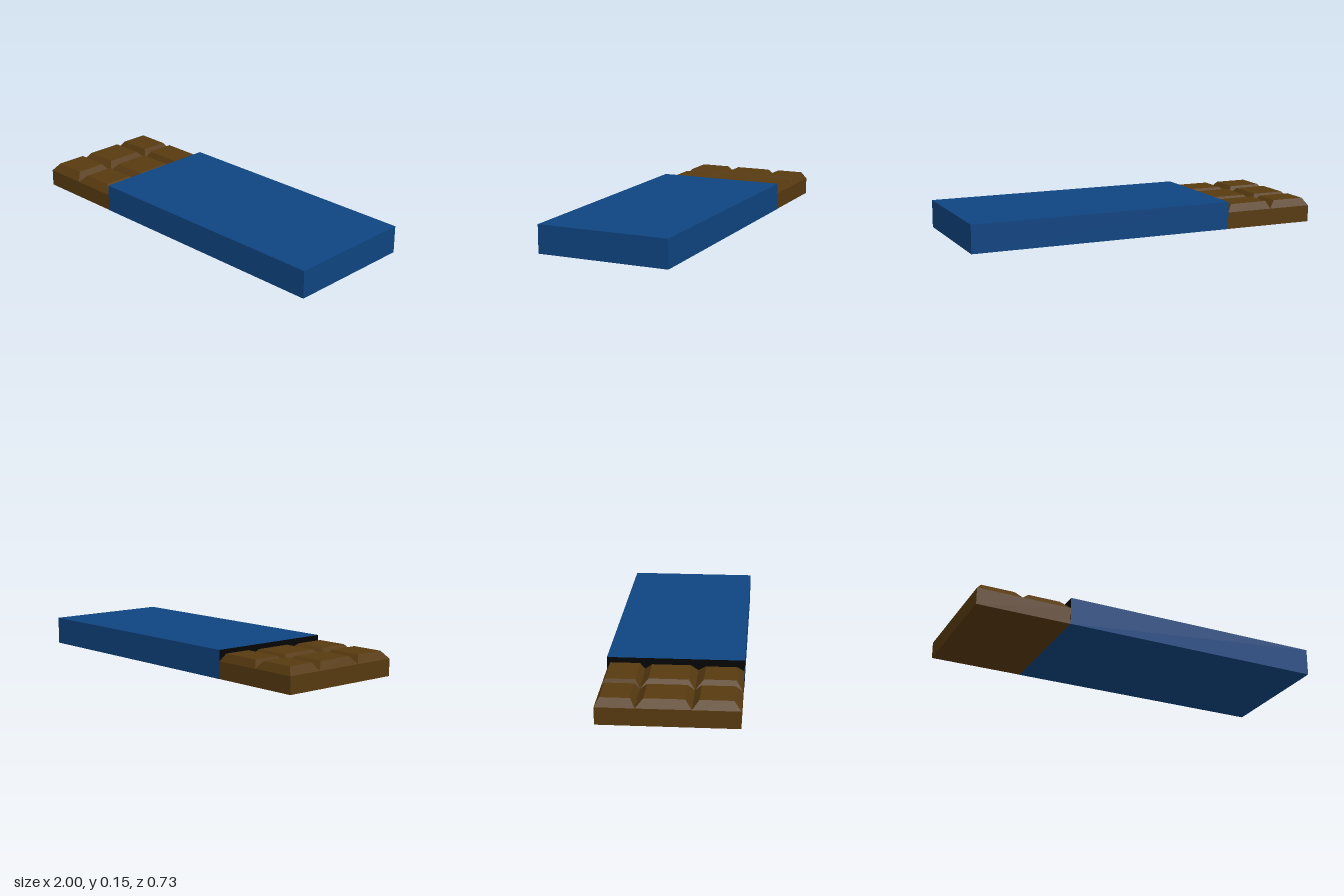
import * as THREE from 'three';

const BASE = 0.093, TOP = 0.135, DEPTH = 0.362, SPLIT = -0.48;

// Bevelled square: a box whose top face is moved to a smaller rectangle
function bevelledSquare([x0, x1], [z0, z1], [tx0, tx1], [tz0, tz1]) {
  const geo = new THREE.BoxGeometry(1, 1, 1).toNonIndexed();
  const p = geo.attributes.position;
  for (let i = 0; i < p.count; i++) {
    const top = p.getY(i) > 0, right = p.getX(i) > 0, front = p.getZ(i) > 0;
    const x = right ? (top ? tx1 : x1) : (top ? tx0 : x0);
    const z = front ? (top ? tz1 : z1) : (top ? tz0 : z0);
    p.setXYZ(i, x, top ? TOP : BASE, z);
  }
  geo.computeVertexNormals();
  return geo;
}

export function createModel() {
  const group = new THREE.Group();
  const chocolate = new THREE.MeshStandardMaterial({ color: 0x573a10 });
  const blue = new THREE.MeshStandardMaterial({ color: 0x0f4480 });
  const black = new THREE.MeshStandardMaterial({ color: 0x050505 });

  const add = (name, geo, mat, x = 0, y = 0, z = 0) => {
    const mesh = new THREE.Mesh(geo, mat);
    mesh.name = name;
    mesh.position.set(x, y, z);
    group.add(mesh);
    return mesh;
  };

  // Exposed slab under the squares
  const slabLength = SPLIT + 1;
  add('chocolateSlab', new THREE.BoxGeometry(slabLength, BASE, DEPTH * 2), chocolate,
    (SPLIT - 1) / 2, BASE / 2, 0);

  // Two columns by three rows of slightly uneven squares
  const columns = [[-1, -0.75], [-0.75, SPLIT]];
  const rows = [[-DEPTH, -0.16], [-0.16, 0.12], [0.12, DEPTH]];
  const tops = [
    [[[-0.97, -0.785], [-0.338, -0.185]], [[-0.73, -0.508], [-0.341, -0.185]]],
    [[[-0.968, -0.785], [-0.12, 0.085]], [[-0.715, -0.52], [-0.12, 0.085]]],
    [[[-0.968, -0.785], [0.155, 0.325]], [[-0.708, -0.53], [0.162, 0.328]]],
  ];
  rows.forEach((row, r) => columns.forEach((column, c) => {
    add(`chocolateSquare${r + 1}${c + 1}`,
      bevelledSquare(column, row, ...tops[r][c]), chocolate);
  }));

  // Wrapper sleeve, with a dark end facing the chocolate
  const length = 1 - SPLIT, height = 0.153;
  const sleeve = new THREE.BoxGeometry(length, height, DEPTH * 2 + 0.003);
  add('wrapper', sleeve, [blue, black, blue, blue, blue, blue],
    (1 + SPLIT) / 2, height / 2, 0);

  return group;
}
